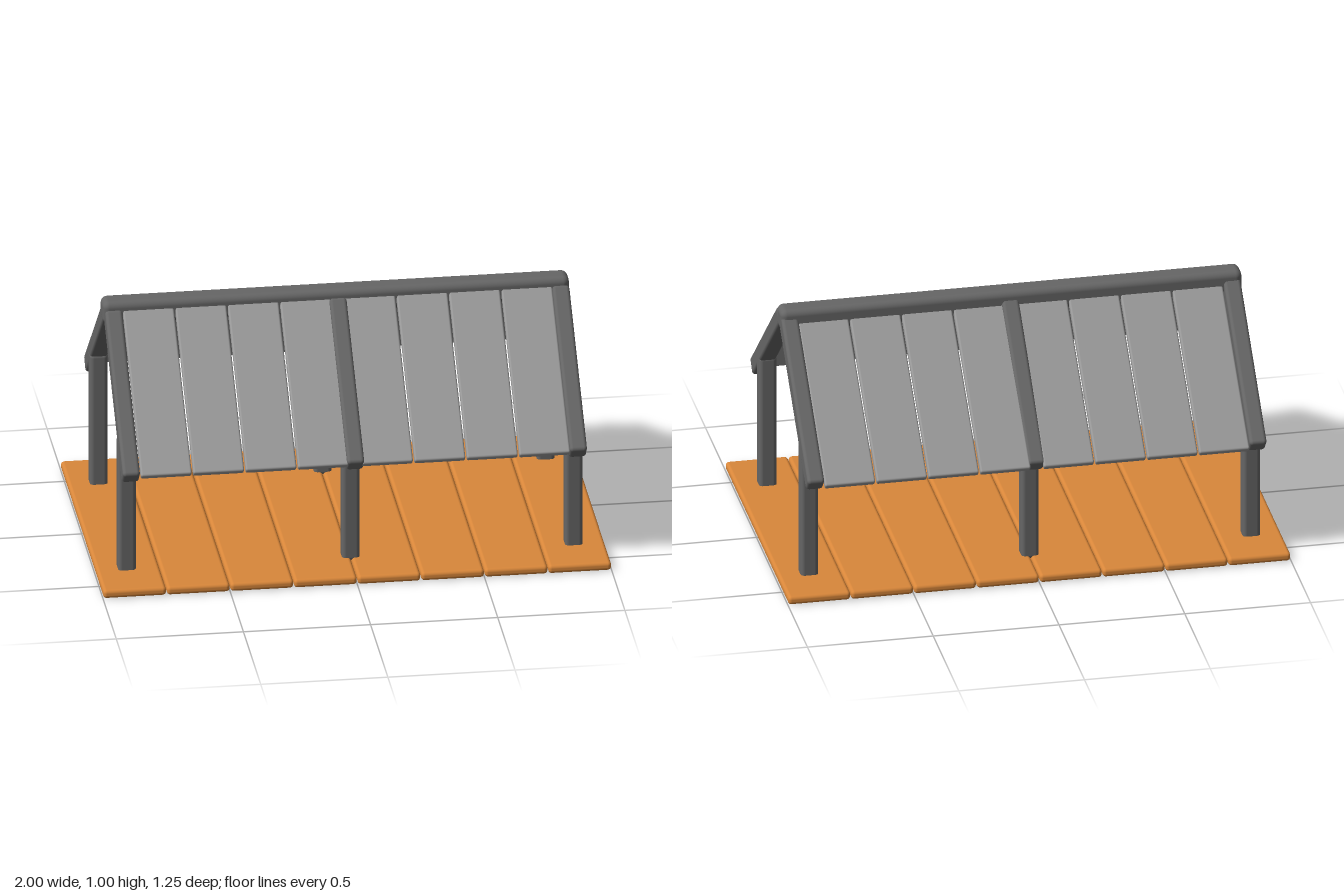
import * as THREE from 'three';
import { RoundedBoxGeometry } from 'three/addons/geometries/RoundedBoxGeometry.js';

const wood = new THREE.MeshStandardMaterial({ color: 0xd9873a });
const frame = new THREE.MeshStandardMaterial({ color: 0x666666 });
const board = new THREE.MeshStandardMaterial({ color: 0x999999 });

function beam(name, size, radius, material, position) {
  const mesh = new THREE.Mesh(new RoundedBoxGeometry(...size, 3, radius), material);
  mesh.name = name;
  mesh.position.set(...position);
  return mesh;
}

// A beam lying along the slope from upper to lower, each given as [z, y]
function sloped(name, x, width, thickness, radius, material, upper, lower) {
  const dz = lower[0] - upper[0], dy = lower[1] - upper[1];
  const mesh = beam(name, [width, thickness, Math.hypot(dz, dy)], radius, material,
    [x, (upper[1] + lower[1]) / 2, (upper[0] + lower[0]) / 2]);
  mesh.rotation.x = -Math.atan2(dy, dz);
  return mesh;
}

export function createModel() {
  const model = new THREE.Group();
  model.name = 'openShelter';

  // Floor of eight planks
  const floor = new THREE.Group();
  floor.name = 'floor';
  for (let i = 0; i < 8; i++) {
    floor.add(beam('floorPlank', [0.247, 0.035, 1.245], 0.014, wood, [-0.875 + i * 0.25, 0.0175, 0]));
  }
  model.add(floor);

  // Three pairs of posts
  const posts = new THREE.Group();
  posts.name = 'posts';
  for (const x of [-0.88, 0, 0.877]) {
    for (const z of [0.406, -0.41]) {
      posts.add(beam('post', [0.07, 0.57, 0.07], 0.016, frame, [x, 0.305, z]));
    }
  }
  model.add(posts);

  // Two roof slopes: rafters with boards set between them
  const slopes = [
    { name: 'frontSlope', top: [0.02, 0.945], end: [0.545, 0.472], boardEnd: [0.549, 0.477] },
    { name: 'backSlope', top: [-0.022, 0.945], end: [-0.555, 0.473], boardEnd: [-0.582, 0.477] },
  ];
  for (const { name, top, end, boardEnd } of slopes) {
    const slope = new THREE.Group();
    slope.name = name;
    for (const x of [-0.88, 0.002, 0.878]) {
      slope.add(sloped('rafter', x, 0.068, 0.072, 0.014, frame, top, end));
    }
    for (let i = 0; i < 4; i++) {
      for (const start of [-0.742, 0.128]) {
        slope.add(sloped('roofBoard', start + i * 0.206, 0.2, 0.03, 0.008, board, [top[0], top[1] + 0.008], boardEnd));
      }
    }
    model.add(slope);
  }

  // Ridge beam
  model.add(beam('ridgeBeam', [1.835, 0.095, 0.096], 0.026, frame, [-0.003, 0.9475, -0.013]));
  return model;
}
